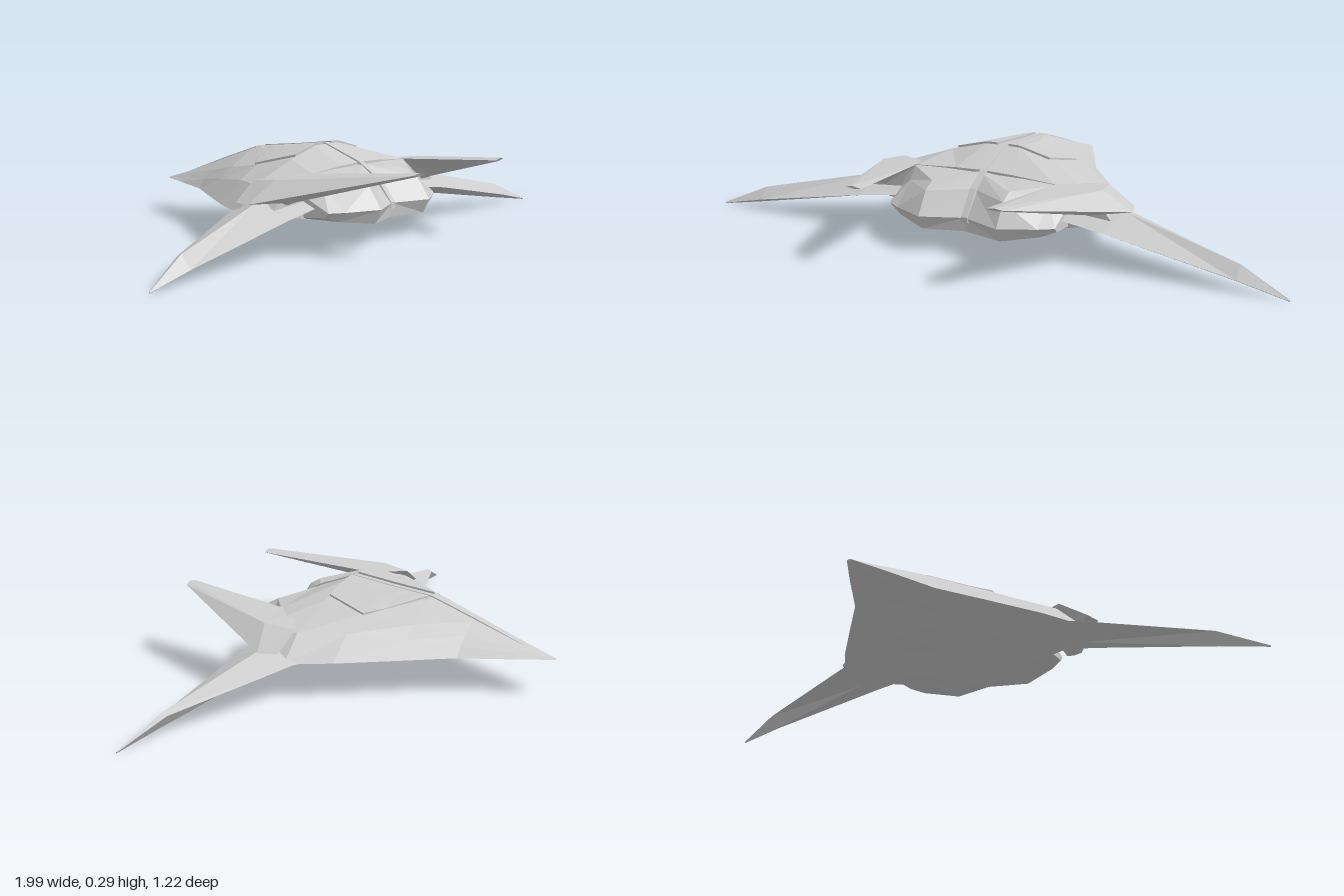
import * as THREE from 'three';

const material = new THREE.MeshStandardMaterial({ color: 0xcccccc, flatShading: true });

// Closed faceted solid through a list of rings, each ring a list of [x, y, z]
function loft(rings, side = 1) {
  const pos = [];
  const n = rings[0].length;
  const pts = rings.map(r => r.map(p => new THREE.Vector3(p[0] * side, p[1], p[2])));
  const tris = [];
  for (let i = 0; i < pts.length - 1; i++) {
    for (let j = 0; j < n; j++) {
      const k = (j + 1) % n;
      const [a, b, c, d] = [pts[i][j], pts[i][k], pts[i + 1][k], pts[i + 1][j]];
      tris.push([a, b, c], [a, c, d]);
    }
  }
  for (const end of [0, pts.length - 1]) {
    const ring = pts[end];
    const mid = ring.reduce((s, p) => s.add(p), new THREE.Vector3()).divideScalar(n);
    ring.forEach((p, j) => {
      const q = ring[(j + 1) % n];
      tris.push(end === 0 ? [mid, q, p] : [mid, p, q]);
    });
  }
  // The sign of the volume tells whether faces must be turned outward
  const volume = tris.reduce((s, [a, b, c]) => s + a.dot(b.clone().cross(c)), 0);
  for (const [a, b, c] of tris) {
    for (const p of volume < 0 ? [a, c, b] : [a, b, c]) pos.push(p.x, p.y, p.z);
  }
  const geometry = new THREE.BufferGeometry();
  geometry.setAttribute('position', new THREE.Float32BufferAttribute(pos, 3));
  geometry.computeVertexNormals();
  return geometry;
}

// Half sections from the nose back: top centre, inner and outer shoulder, flank, edge, chine, keel
const sections = [
  { z: -0.61, p: [[0, 0.118], [0.002, 0.118], [0.004, 0.117], [0.006, 0.116], [0.008, 0.115], [0.004, 0.113], [0, 0.112]] },
  { z: -0.5, p: [[0, 0.15], [0.016, 0.149], [0.03, 0.14], [0.045, 0.128], [0.064, 0.115], [0.03, 0.106], [0, 0.104]] },
  { z: -0.34, p: [[0, 0.205], [0.03, 0.202], [0.08, 0.17], [0.11, 0.145], [0.14, 0.115], [0.07, 0.098], [0, 0.09]] },
  { z: -0.19, p: [[0, 0.255], [0.035, 0.253], [0.14, 0.2], [0.19, 0.165], [0.25, 0.115], [0.12, 0.09], [0, 0.075]] },
  { z: -0.03, p: [[0, 0.27], [0.06, 0.268], [0.2, 0.225], [0.28, 0.185], [0.365, 0.115], [0.19, 0.08], [0, 0.06]] },
  { z: 0.1, p: [[0, 0.285], [0.06, 0.284], [0.185, 0.252], [0.36, 0.19], [0.44, 0.115], [0.24, 0.075], [0, 0.035]] },
  { z: 0.23, p: [[0, 0.235], [0.1, 0.232], [0.245, 0.222], [0.38, 0.195], [0.44, 0.12], [0.27, 0.085], [0, 0.048]] },
];

// Height of the hull's upper side
function hullTop(x, z) {
  const i = Math.max(0, sections.findIndex(s => s.z >= z) - 1);
  const [a, b] = [sections[i], sections[i + 1]];
  const t = (z - a.z) / (b.z - a.z);
  const row = a.p.slice(0, 5).map((p, j) => [
    THREE.MathUtils.lerp(p[0], b.p[j][0], t), THREE.MathUtils.lerp(p[1], b.p[j][1], t)]);
  const k = Math.max(1, row.findIndex(p => p[0] >= x));
  return THREE.MathUtils.mapLinear(x, row[k - 1][0], row[k][0], row[k - 1][1], row[k][1]);
}

export function createModel() {
  const model = new THREE.Group();
  const add = (name, rings, side) => {
    const mesh = new THREE.Mesh(loft(rings, side), material);
    mesh.name = name;
    model.add(mesh);
  };

  // Hull
  add('hull', sections.map(({ z, p }) => [
    ...p.map(([x, y]) => [x, y, z]),
    ...p.slice(1, -1).reverse().map(([x, y]) => [-x, y, z]),
  ]));

  // Raised spine along the centre line, running down over the stern
  const spine = [[-0.52, 0.143], [-0.34, 0.208], [-0.19, 0.259], [-0.03, 0.274], [0.1, 0.289],
    [0.23, 0.24], [0.3, 0.195], [0.36, 0.118]];
  add('spine', spine.map(([z, y]) => [
    [-0.014, y - 0.02, z], [-0.01, y, z], [0.01, y, z], [0.014, y - 0.02, z]]));

  for (const [sideName, s] of [['left', 1], ['right', -1]]) {
    // Raised canopy panel that follows the hull
    const panel = [[-0.18, 0.028], [-0.14, 0.075], [-0.09, 0.137], [-0.04, 0.196], [0.03, 0.181], [0.1, 0.165]];
    add(sideName + 'CanopyPanel', panel.map(([z, outer]) => {
      const top = [];
      for (let i = 0; i <= 4; i++) {
        const x = THREE.MathUtils.lerp(0.02, outer, i / 4);
        top.push([x, hullTop(x, z) + 0.007, z]);
      }
      const down = p => [p[0], p[1] - 0.025, p[2]];
      return [down(top[0]), ...top, down(top[4])];
    }), s);

    // Wing
    add(sideName + 'Wing', [
      [[0.24, 0.115, -0.02], [0.24, 0.185, 0.14], [0.24, 0.13, 0.27], [0.24, 0.085, 0.14]],
      [[0.44, 0.115, 0.07], [0.46, 0.15, 0.18], [0.42, 0.11, 0.285], [0.42, 0.085, 0.17]],
      [[0.84, 0.064, 0.235], [0.84, 0.072, 0.252], [0.84, 0.035, 0.288], [0.84, 0.022, 0.262]],
      [[0.995, 0.004, 0.288], [0.995, 0.005, 0.29], [0.995, 0.002, 0.292], [0.995, 0, 0.29]],
    ], s);

    // Swept tail fin: inner edge, ridge, outer edge, underside
    add(sideName + 'Fin', [
      [[0.25, 0.22, 0.18], [0.37, 0.205, 0.1], [0.46, 0.15, 0.11], [0.36, 0.13, 0.2]],
      [[0.247, 0.222, 0.23], [0.39, 0.216, 0.2], [0.478, 0.15, 0.17], [0.38, 0.155, 0.27]],
      [[0.205, 0.248, 0.605], [0.235, 0.254, 0.607], [0.262, 0.248, 0.6], [0.235, 0.243, 0.6]],
    ], s);

    // Stern block: deck, brow, lip and belly, with a pointed rear edge
    const stern = [
      [0, [0.235, 0.18], [0.228, 0.24], [0.19, 0.29], [0.115, 0.355], [0.07, 0.35], [0.046, 0.18]],
      [0.135, [0.235, 0.18], [0.208, 0.32], [0.186, 0.36], [0.115, 0.407], [0.07, 0.385], [0.068, 0.18]],
      [0.246, [0.222, 0.18], [0.22, 0.235], [0.18, 0.27], [0.115, 0.355], [0.085, 0.335], [0.085, 0.18]],
      [0.29, [0.18, 0.18], [0.175, 0.23], [0.15, 0.25], [0.115, 0.325], [0.1, 0.31], [0.09, 0.18]],
    ];
    add(sideName + 'Stern', stern.map(([x, ...ring]) => ring.map(([y, z]) => [x, y, z])), s);
  }
  return model;
}
